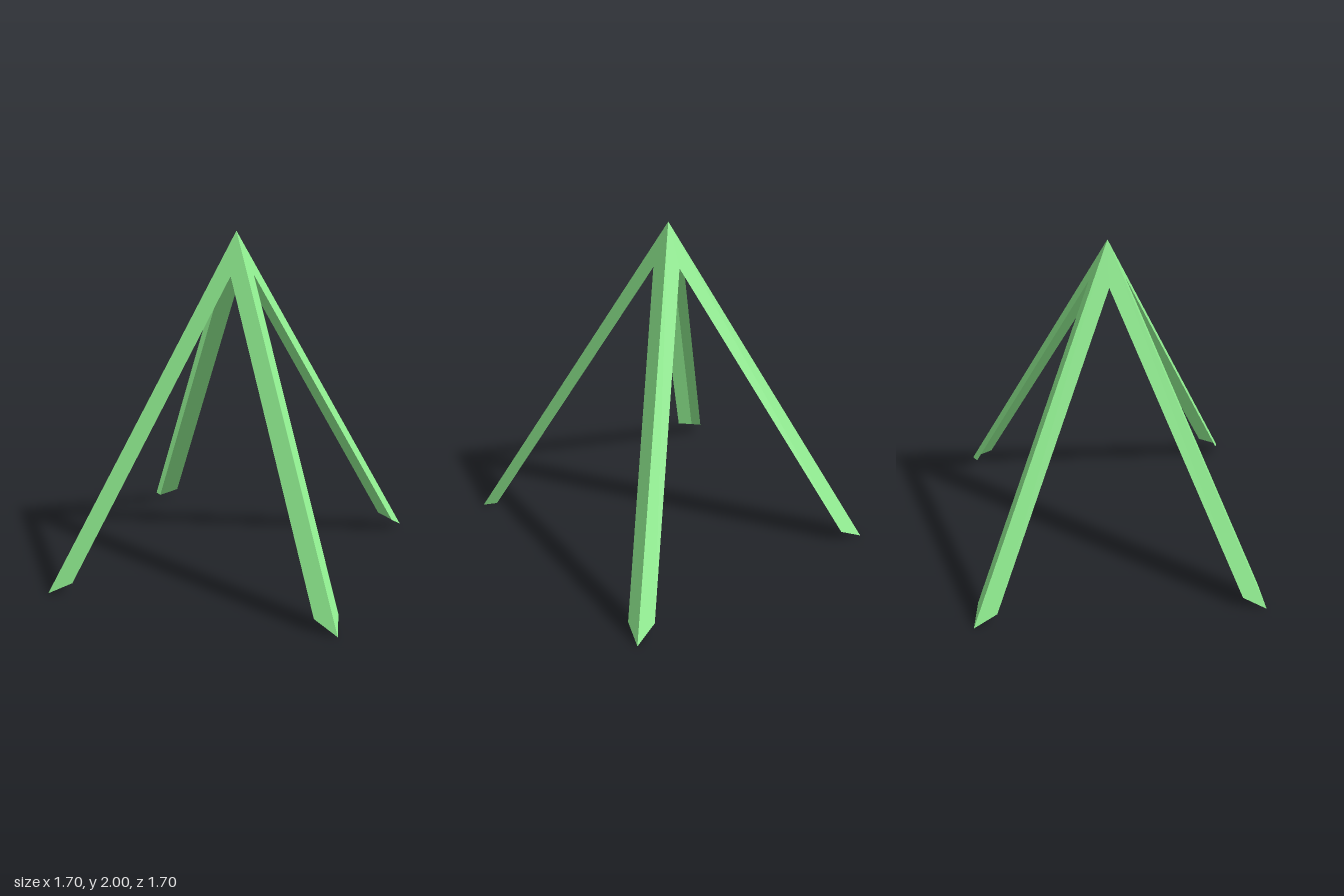
import * as THREE from 'three';

const HEIGHT = 2, HALF = 0.85;

// One sloping side: an inverted V sheet lying in a face of a square pyramid
function sidePanel(footX, material) {
  const shape = new THREE.Shape([
    [0, HEIGHT], [-HALF, 0], [-footX, 0.07], [0, 1.755], [footX, 0.07], [HALF, 0],
  ].map(([x, y]) => new THREE.Vector2(x, y)));
  const geometry = new THREE.ShapeGeometry(shape);
  const p = geometry.attributes.position;
  // Lean the flat sheet back so that it meets the apex
  for (let i = 0; i < p.count; i++) p.setZ(i, HALF * (1 - p.getY(i) / HEIGHT));
  geometry.computeVertexNormals();
  return new THREE.Mesh(geometry, material);
}

export function createModel() {
  const group = new THREE.Group();
  group.name = 'pyramidFrame';
  const material = new THREE.MeshStandardMaterial({ color: 0x90ee90, side: THREE.DoubleSide });

  // Four sides share their outer edges, giving four angle-section legs
  const sides = [['front', 0.71], ['right', 0.722], ['back', 0.71], ['left', 0.712]];
  sides.forEach(([name, footX], i) => {
    const panel = sidePanel(footX, material);
    panel.name = ['frontPanel', 'leftPanel', 'backPanel', 'rightPanel'][i];
    panel.rotation.y = i * Math.PI / 2;
    group.add(panel);
  });
  return group;
}
